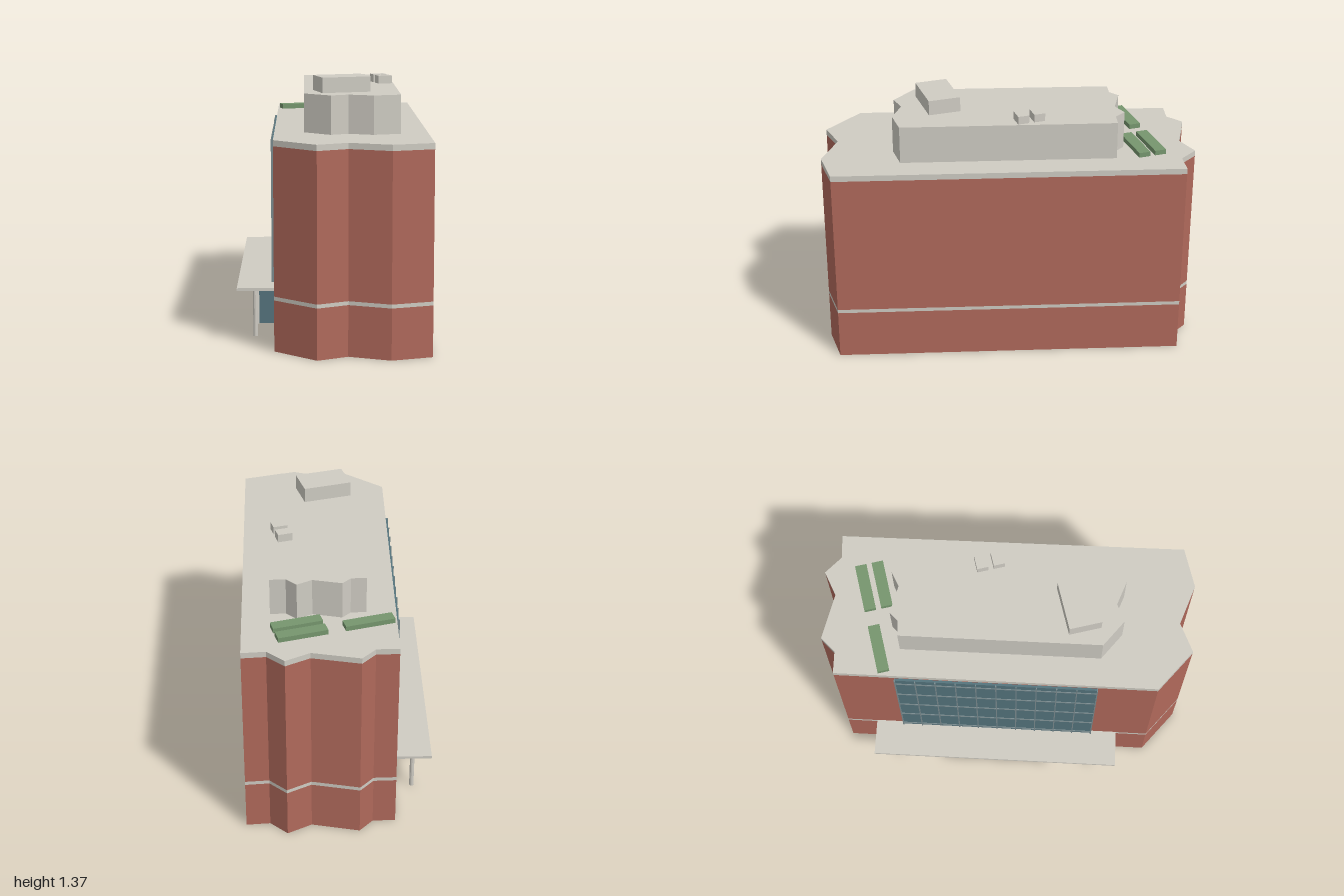
import * as THREE from 'three';

const material = (color) => new THREE.MeshStandardMaterial({ color, roughness: 0.9, flatShading: true });

export function createModel() {
  const model = new THREE.Group();
  model.name = 'building';
  const brick = material(0xb0695b);
  const stone = material(0xcfccc3);
  const glass = material(0x55747d);
  const frame = material(0x7b8c90);
  const green = material(0x76966e);

  // Upright prism over a plan outline of [x, z] points
  function prism(name, outline, y0, y1, mat) {
    const shape = new THREE.Shape(outline.map(([x, z]) => new THREE.Vector2(x, -z)));
    const geo = new THREE.ExtrudeGeometry(shape, { depth: y1 - y0, bevelEnabled: false });
    geo.rotateX(-Math.PI / 2);
    const mesh = new THREE.Mesh(geo, mat);
    mesh.name = name;
    mesh.position.y = y0;
    model.add(mesh);
  }

  // Box given by its limits on each axis
  function box(parent, name, [x0, x1], [y0, y1], [z0, z1], mat) {
    const mesh = new THREE.Mesh(new THREE.BoxGeometry(x1 - x0, y1 - y0, z1 - z0), mat);
    mesh.name = name;
    mesh.position.set((x0 + x1) / 2, (y0 + y1) / 2, (z0 + z1) / 2);
    parent.add(mesh);
  }

  // Main block: brick storeys, string course and parapet
  const plan = [
    [-0.545, 0.66], [-0.385, 0.89], [-0.215, 0.865], [-0.03, 0.998], [0.19, 0.998], [0.683, -0.78],
    [0.56, -0.805], [0.495, -0.91], [0.355, -0.88], [0.13, -1.0], [0.04, -0.945], [-0.075, -0.975],
  ];
  prism('lowerWalls', plan, 0, 0.267, brick);
  prism('stringCourse', plan, 0.267, 0.287, stone);
  prism('upperWalls', plan, 0.287, 1.055, brick);
  prism('parapetAndRoof', plan, 1.055, 1.086, stone);

  // Set-back penthouse
  const penthouse = [
    [-0.312, 0.41], [-0.21, 0.55], [-0.11, 0.535], [0, 0.615], [0.147, 0.615], [0.45, -0.48],
    [0.37, -0.5], [0.332, -0.565], [0.245, -0.545], [0.11, -0.62], [0.055, -0.588], [-0.023, -0.607],
  ];
  prism('penthouse', penthouse, 1.086, 1.288, stone);

  // Rooftop plant
  box(model, 'plantRoom', [-0.217, 0.045], [1.288, 1.368], [0.253, 0.425], stone);
  for (const z of [-0.13, -0.042]) box(model, 'ventUnit', [0.227, 0.304], [1.288, 1.331], [z, z + 0.06], stone);

  // Planted beds
  for (const [x, z] of [[-0.13, -0.747], [0.222, -0.747], [0.222, -0.657]]) {
    box(model, 'planter', [x, x + 0.26], [1.086, 1.112], [z, z + 0.062], green);
  }

  // Entrance side: local x runs along the wall, local z points outwards
  const side = new THREE.Group();
  side.name = 'entranceSide';
  side.position.set(-0.075, 0, -0.975);
  side.rotation.y = Math.atan2(-0.961, -0.276);
  model.add(side);

  // Curtain wall with mullions and floor rails
  const [g0, g1] = [0.32, 1.385];
  box(side, 'curtainWall', [g0, g1], [0.287, 1.05], [-0.005, 0.013], glass);
  for (let i = 0; i <= 10; i++) {
    const t = g0 + ((g1 - g0) * i) / 10;
    box(side, 'mullion', [t - 0.003, t + 0.003], [0.287, 1.05], [0, 0.019], frame);
  }
  for (let i = 0; i < 5; i++) {
    const y = 0.32 + 0.17 * i;
    box(side, 'floorRail', [g0, g1], [y - 0.005, y + 0.005], [0, 0.017], frame);
  }

  // Canopy on columns over the glazed lobby
  box(side, 'canopy', [0.167, 1.53], [0.276, 0.291], [-0.005, 0.197], stone);
  box(side, 'lobby', [0.575, 1.12], [0, 0.276], [-0.005, 0.115], glass);
  for (const t of [0.295, 0.563, 1.13, 1.388]) {
    const column = new THREE.Mesh(new THREE.CylinderGeometry(0.012, 0.012, 0.276, 12), stone);
    column.name = 'canopyColumn';
    column.position.set(t, 0.138, 0.106);
    side.add(column);
  }
  return model;
}
